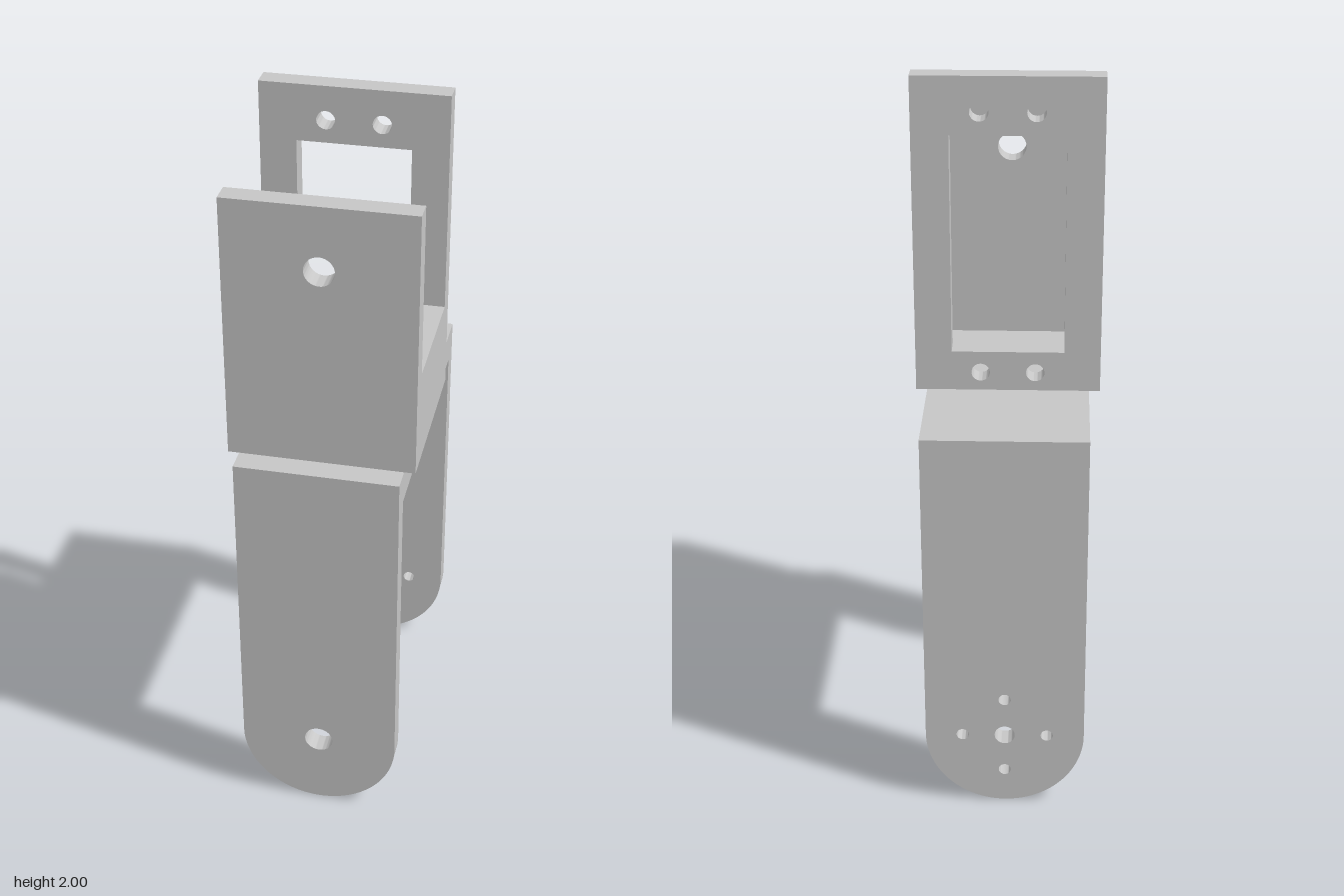
import * as THREE from 'three';
import { toCreasedNormals } from 'three/addons/utils/BufferGeometryUtils.js';

const grey = new THREE.MeshStandardMaterial({ color: 0xc6c6c6 });
grey.name = 'light grey';

function circle(x, y, r) {
  const path = new THREE.Path();
  path.absarc(x, y, r, 0, Math.PI * 2, true);
  return path;
}

function rectangle(Kind, x, y0, y1) {
  return new Kind([[-x, y0], [x, y0], [x, y1], [-x, y1]].map(p => new THREE.Vector2(...p)));
}

// Upright plate cut from a shape, reaching from z0 to z1
function plate(name, shape, holes, z0, z1) {
  shape.holes.push(...holes);
  const extruded = new THREE.ExtrudeGeometry(shape, { depth: z1 - z0, bevelEnabled: false, curveSegments: 32 });
  const mesh = new THREE.Mesh(toCreasedNormals(extruded, 0.6), grey);
  mesh.name = name;
  mesh.position.z = z0;
  return mesh;
}

function block(name, x0, x1, y0, y1, z0, z1) {
  const mesh = new THREE.Mesh(new THREE.BoxGeometry(x1 - x0, y1 - y0, z1 - z0), grey);
  mesh.name = name;
  mesh.position.set((x0 + x1) / 2, (y0 + y1) / 2, (z0 + z1) / 2);
  return mesh;
}

// Fork leg outline with a rounded lower end
const R = 0.22, FORK_TOP = 1.133;
function legShape() {
  const s = new THREE.Shape();
  s.moveTo(R, FORK_TOP);
  s.lineTo(-R, FORK_TOP);
  s.lineTo(-R, R);
  s.absarc(0, R, R, Math.PI, Math.PI * 2, false);
  s.closePath();
  return s;
}

export function createModel() {
  const model = new THREE.Group();
  model.name = 'servoBracket';

  // Lower fork: pivot hole in front, horn mounting pattern at the back
  const fork = new THREE.Group();
  fork.name = 'lowerFork';
  const hornHoles = [circle(0, R, 0.028)];
  for (let i = 0; i < 4; i++) {
    const a = i * Math.PI / 2;
    hornHoles.push(circle(0.117 * Math.cos(a), R + 0.117 * Math.sin(a), 0.017));
  }
  fork.add(
    plate('frontLeg', legShape(), [circle(0, R, 0.04)], 0.368, 0.426),
    plate('backLeg', legShape(), hornHoles, -0.426, -0.368),
    block('forkBridge', -R, R, 1.045, FORK_TOP, -0.368, 0.368)
  );

  // Upper cradle: pivot plate, windowed mounting plate and low side walls
  const cradle = new THREE.Group();
  cradle.name = 'upperCradle';
  const mountHoles = [rectangle(THREE.Path, 0.152, 1.245, 1.845)];
  for (const x of [-0.074, 0.074]) {
    for (const y of [1.185, 1.907]) mountHoles.push(circle(x, y, 0.025));
  }
  cradle.add(
    plate('pivotPlate', rectangle(THREE.Shape, 0.25, FORK_TOP, 1.867), [circle(0, 1.692, 0.04)], 0.301, 0.36),
    plate('mountingPlate', rectangle(THREE.Shape, 0.25, FORK_TOP, 2), mountHoles, -0.111, -0.053),
    block('leftWall', 0.19, 0.25, FORK_TOP, 1.398, -0.053, 0.301),
    block('rightWall', -0.25, -0.19, FORK_TOP, 1.398, -0.053, 0.301)
  );

  model.add(fork, cradle);
  return model;
}
